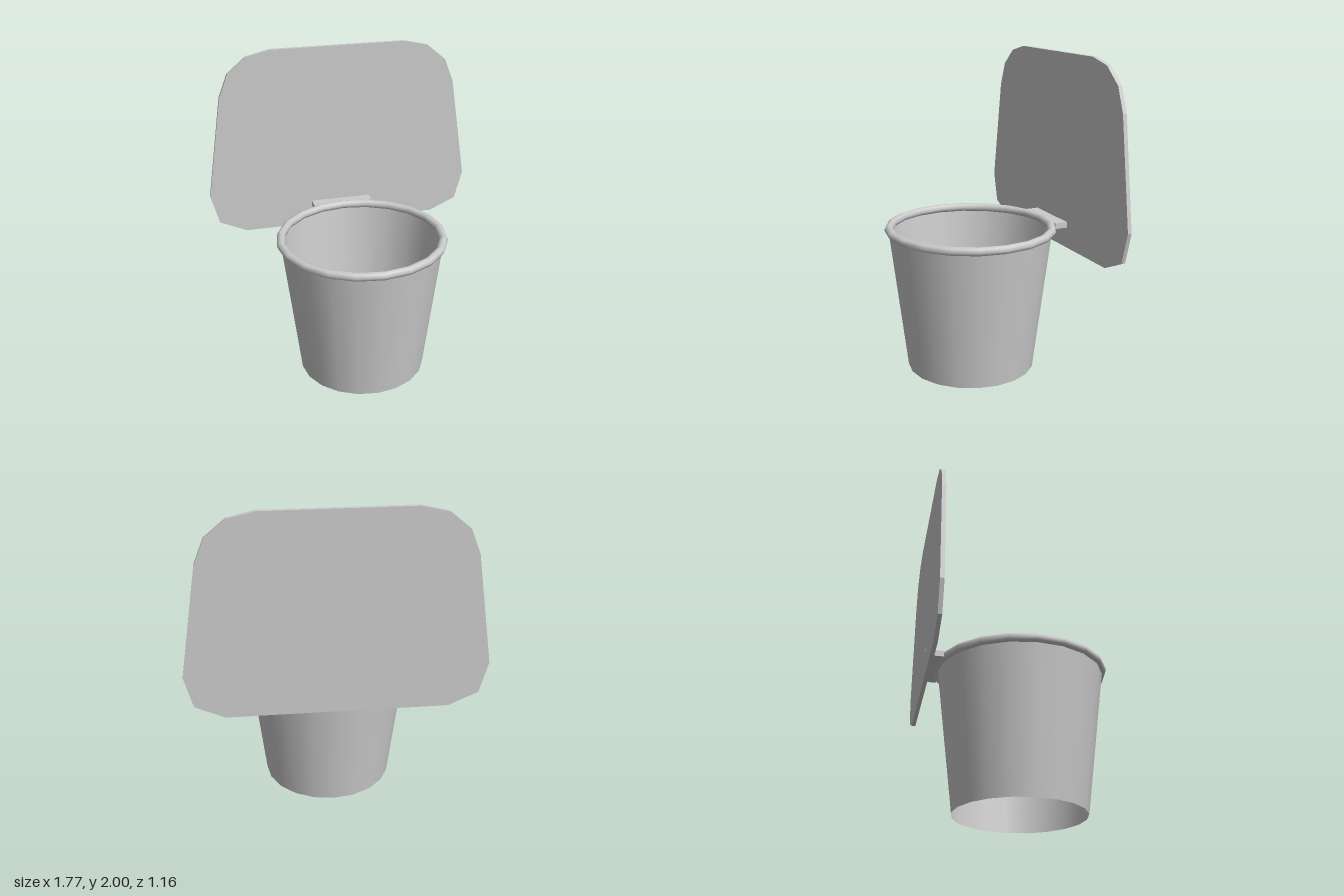
import * as THREE from 'three';

export function createModel() {
  const group = new THREE.Group();
  const solid = new THREE.MeshStandardMaterial({ color: 0xcccccc });
  const thin = new THREE.MeshStandardMaterial({ color: 0xcccccc, side: THREE.DoubleSide });
  const sides = 20, basketZ = 0.033;

  function add(name, geometry, material, x, y, z) {
    const mesh = new THREE.Mesh(geometry, material);
    mesh.name = name;
    mesh.position.set(x, y, z);
    group.add(mesh);
    return mesh;
  }

  // Tapered basket wall, open at both ends
  const wallTop = 0.917;
  add('basketWall', new THREE.CylinderGeometry(0.519, 0.407, wallTop, sides, 1, true),
    thin, 0, wallTop / 2, basketZ);

  // Rolled rim around the top
  const rim = new THREE.TorusGeometry(0.516, 0.0275, 8, sides);
  rim.rotateX(Math.PI / 2);
  add('rim', rim, solid, 0, 0.916, basketZ);

  // Bracket running from the rim through the backboard
  add('bracket', new THREE.BoxGeometry(0.4, 0.037, 0.11), solid, 0, 0.916, -0.525);

  // Flat backboard: right half of the outline, mirrored for the other half
  const half = [
    [0.655, 0.765], [0.833, 0.845], [0.885, 1.037], [0.782, 1.71],
    [0.723, 1.86], [0.6, 1.963], [0.442, 2],
  ];
  const mirrored = half.map(([x, y]) => [-x, y]).reverse();
  const outline = [...half, ...mirrored].map(([x, y]) => new THREE.Vector2(x, y));
  const board = new THREE.ExtrudeGeometry(new THREE.Shape(outline), { depth: 0.025, bevelEnabled: false });
  add('backboard', board, solid, 0, 0, -0.579);

  return group;
}
